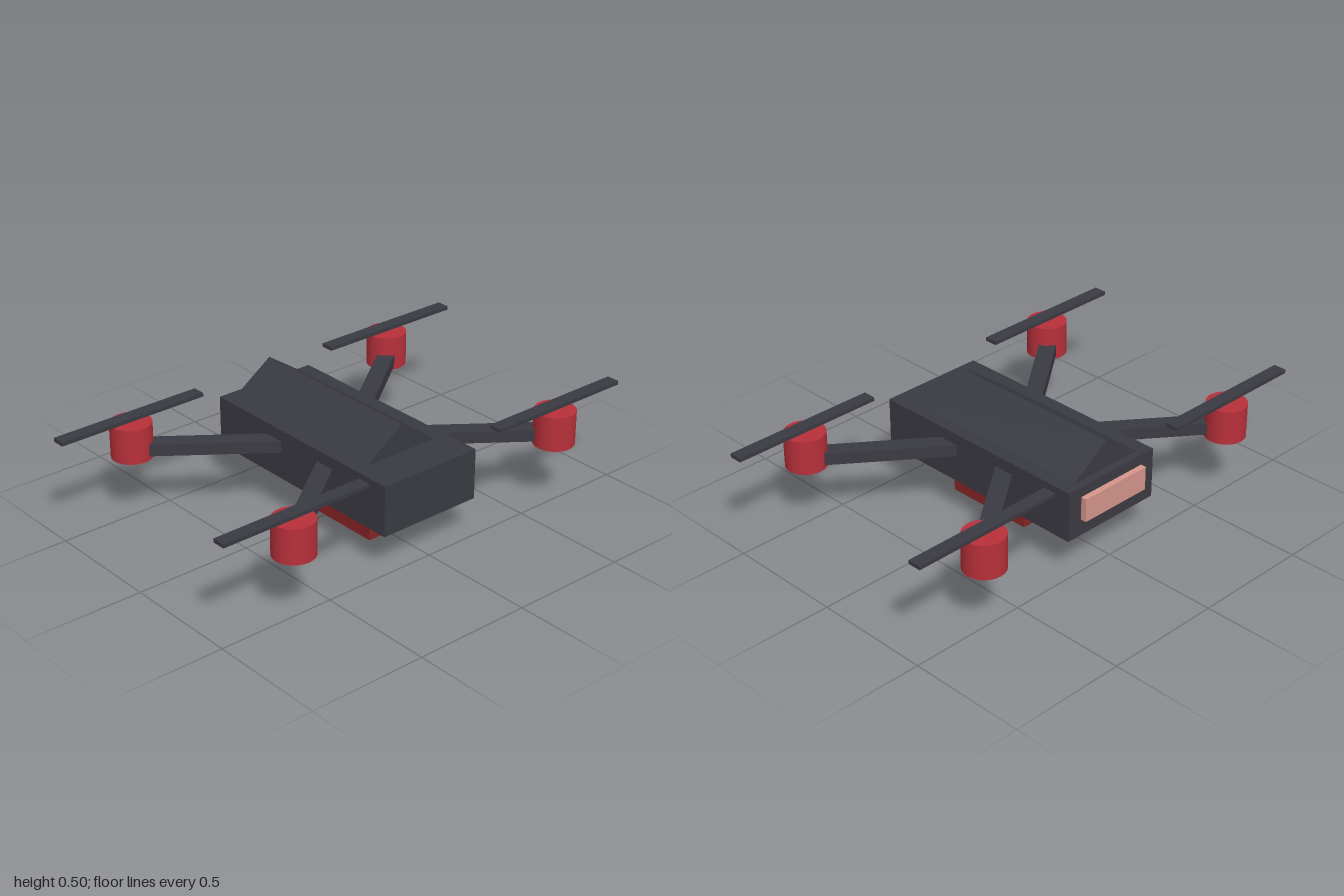
import * as THREE from 'three';

const material = (name, color) => {
  const m = new THREE.MeshStandardMaterial({ color });
  m.name = name;
  return m;
};

export function createModel() {
  const charcoal = material('charcoal', 0x3a3a42);
  const red = material('motor red', 0xb8303a);
  const darkRed = material('dark red', 0x872426);
  const pink = material('pale pink', 0xd6968b);

  const model = new THREE.Group();
  model.name = 'quadcopter';

  const add = (name, geometry, mat, x, y, z, parent = model) => {
    const mesh = new THREE.Mesh(geometry, mat);
    mesh.name = name;
    mesh.position.set(x, y, z);
    parent.add(mesh);
    return mesh;
  };

  // Hull
  add('body', new THREE.BoxGeometry(0.464, 0.214, 1), charcoal, 0, 0.273, 0);

  // Ridged roof, set towards the back
  const gable = new THREE.Shape([
    new THREE.Vector2(-0.175, 0),
    new THREE.Vector2(0.175, 0),
    new THREE.Vector2(0, 0.12),
  ]);
  const roof = new THREE.ExtrudeGeometry(gable, { depth: 0.8, bevelEnabled: false });
  add('roof', roof, charcoal, 0, 0.379, -0.467);

  // Underslung pack and rear lamp
  add('bellyPack', new THREE.BoxGeometry(0.2, 0.168, 0.4), darkRed, 0, 0.084, 0.067);
  add('rearLamp', new THREE.BoxGeometry(0.33, 0.1, 0.04), pink, 0, 0.286, -0.505);

  // Four rotor assemblies: diagonal arm, motor and blade
  const inner = new THREE.Vector2(0.2, 0.13);
  const outer = new THREE.Vector2(0.655, 0.475);
  const span = outer.clone().sub(inner);
  const middle = inner.clone().add(outer).multiplyScalar(0.5);
  const armGeometry = new THREE.BoxGeometry(span.length(), 0.05, 0.073);
  const motorGeometry = new THREE.CylinderGeometry(0.085, 0.085, 0.147, 24);
  const bladeGeometry = new THREE.BoxGeometry(0.666, 0.016, 0.056);

  for (const sx of [1, -1]) {
    for (const sz of [1, -1]) {
      const rotor = new THREE.Group();
      rotor.name = (sz > 0 ? 'front' : 'back') + (sx > 0 ? 'Left' : 'Right') + 'Rotor';
      model.add(rotor);
      const arm = add('arm', armGeometry, charcoal, sx * middle.x, 0.306, sz * middle.y, rotor);
      arm.rotation.y = -sx * sz * Math.atan2(span.y, span.x);
      add('motor', motorGeometry, red, sx * 0.667, 0.3375, sz * 0.5, rotor);
      add('blade', bladeGeometry, charcoal, sx * 0.667, 0.432, sz * 0.5, rotor);
    }
  }
  return model;
}
